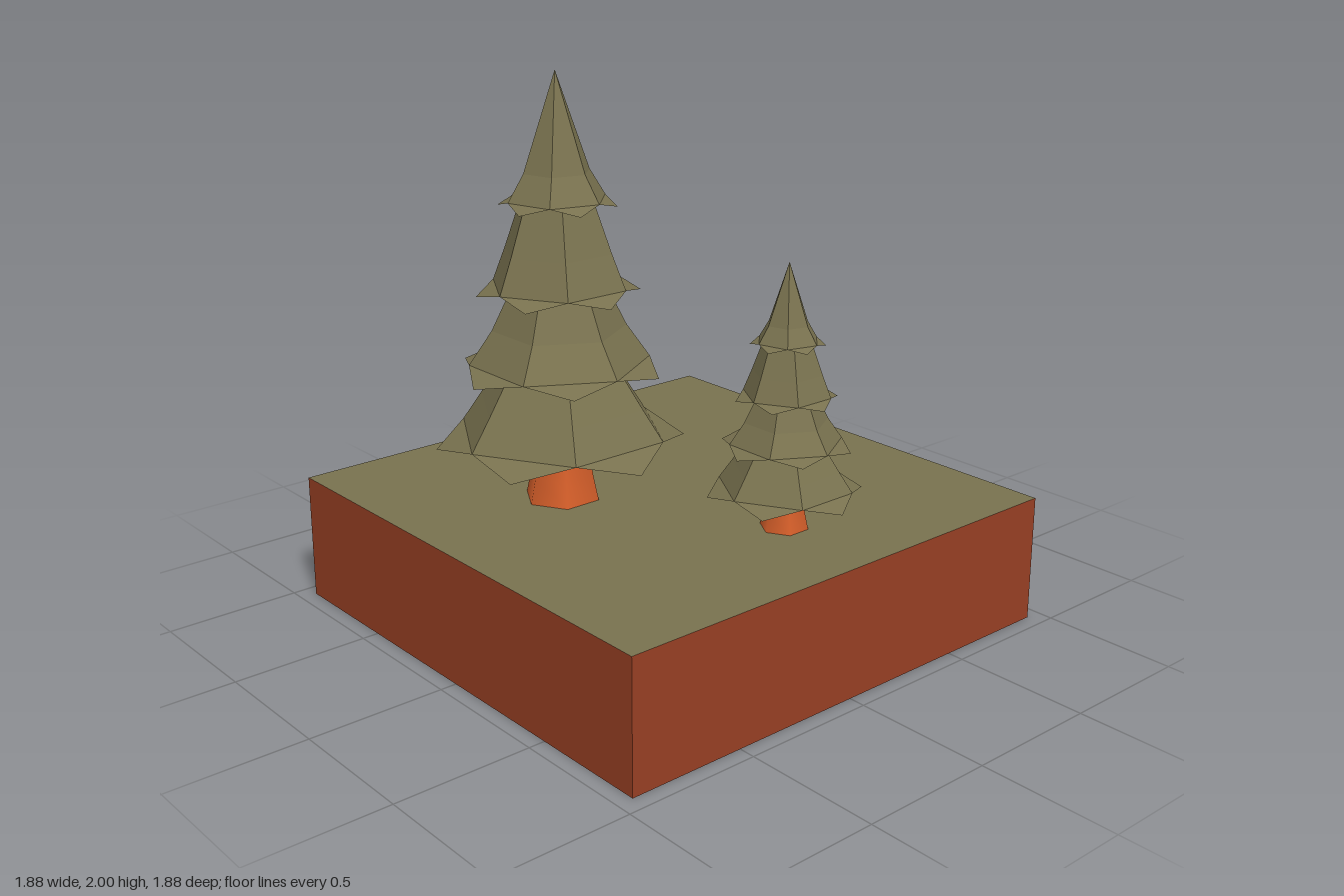
import * as THREE from 'three';

const SIDES = 6;
const GROUND = 0.47;

// One ring of branches: a faceted skirt from a [radius, height] profile (top to bottom),
// with a drooping triangular flap hanging from the lower edge of every facet.
function skirtGeometry(profile, flapRadius, flapY, turn) {
  const pos = [];
  const point = (r, y, a) => [r * Math.cos(a), y, r * Math.sin(a)];
  const tri = (a, b, c) => pos.push(...a, ...b, ...c);
  for (let i = 0; i < SIDES; i++) {
    const a1 = turn + (i / SIDES) * Math.PI * 2;
    const a2 = turn + ((i + 1) / SIDES) * Math.PI * 2;
    for (let k = 0; k < profile.length - 1; k++) {
      const [r0, y0] = profile[k];
      const [r1, y1] = profile[k + 1];
      const topR = point(r0, y0, a1), topL = point(r0, y0, a2);
      const botR = point(r1, y1, a1), botL = point(r1, y1, a2);
      tri(botL, botR, topR);
      if (r0 > 0) tri(botL, topR, topL);
    }
    const [r, y] = profile[profile.length - 1];
    tri(point(r, y, a2), point(flapRadius, flapY, (a1 + a2) / 2), point(r, y, a1));
  }
  const geo = new THREE.BufferGeometry();
  geo.setAttribute('position', new THREE.Float32BufferAttribute(pos, 3));
  geo.computeVertexNormals();
  return geo;
}

// Heights are measured from the ground
const TIERS = [
  { name: 'lowerBranches', profile: [[0.18, 0.59], [0.225, 0.49], [0.31, 0.36], [0.385, 0.25]], flap: [0.445, 0.205], turn: 0 },
  { name: 'middleBranches', profile: [[0.15, 0.85], [0.175, 0.76], [0.238, 0.63], [0.32, 0.51]], flap: [0.37, 0.48], turn: 30 },
  { name: 'upperBranches', profile: [[0.11, 1.16], [0.142, 1.07], [0.2, 0.91], [0.25, 0.785]], flap: [0.289, 0.755], turn: 0 },
  { name: 'treeTip', profile: [[0, 1.53], [0.122, 1.185], [0.18, 1.09]], flap: [0.208, 1.065], turn: 15 },
];

function createTree(foliage, bark) {
  const tree = new THREE.Group();
  // Six-sided trunk with a flared foot, smoothly shaded
  const trunkProfile = [[0.14, 0], [0.12, 0.09], [0.11, 0.17], [0.1, 0.26], [0.09, 0.5]]
    .map(([r, y]) => new THREE.Vector2(r, y));
  const trunk = new THREE.Mesh(new THREE.LatheGeometry(trunkProfile, SIDES, Math.PI / 2), bark);
  trunk.name = 'trunk';
  tree.add(trunk);
  for (const t of TIERS) {
    const turn = THREE.MathUtils.degToRad(t.turn);
    const mesh = new THREE.Mesh(skirtGeometry(t.profile, t.flap[0], t.flap[1], turn), foliage);
    mesh.name = t.name;
    tree.add(mesh);
  }
  return tree;
}

export function createModel() {
  const green = new THREE.MeshStandardMaterial({ color: 0x79724f, side: THREE.DoubleSide, flatShading: true });
  green.name = 'mossGreen';
  const earth = new THREE.MeshStandardMaterial({ color: 0x984024 });
  earth.name = 'earthBrown';
  const bark = new THREE.MeshStandardMaterial({ color: 0xd65f2a });
  bark.name = 'barkOrange';

  const model = new THREE.Group();
  model.name = 'pineTreesOnGround';

  // Earth block with a grassy top face
  const block = new THREE.Mesh(
    new THREE.BoxGeometry(1.88, GROUND, 1.88),
    [earth, earth, green, earth, earth, earth],
  );
  block.name = 'groundBlock';
  block.position.y = GROUND / 2;
  model.add(block);

  // Two copies of the tree at different sizes
  const placements = [
    { name: 'largeTree', x: -0.33, z: -0.19, scale: 1 },
    { name: 'smallTree', x: 0.075, z: 0.535, scale: 0.614 },
  ];
  for (const p of placements) {
    const tree = createTree(green, bark);
    tree.name = p.name;
    tree.position.set(p.x, GROUND, p.z);
    tree.scale.setScalar(p.scale);
    model.add(tree);
  }
  return model;
}
